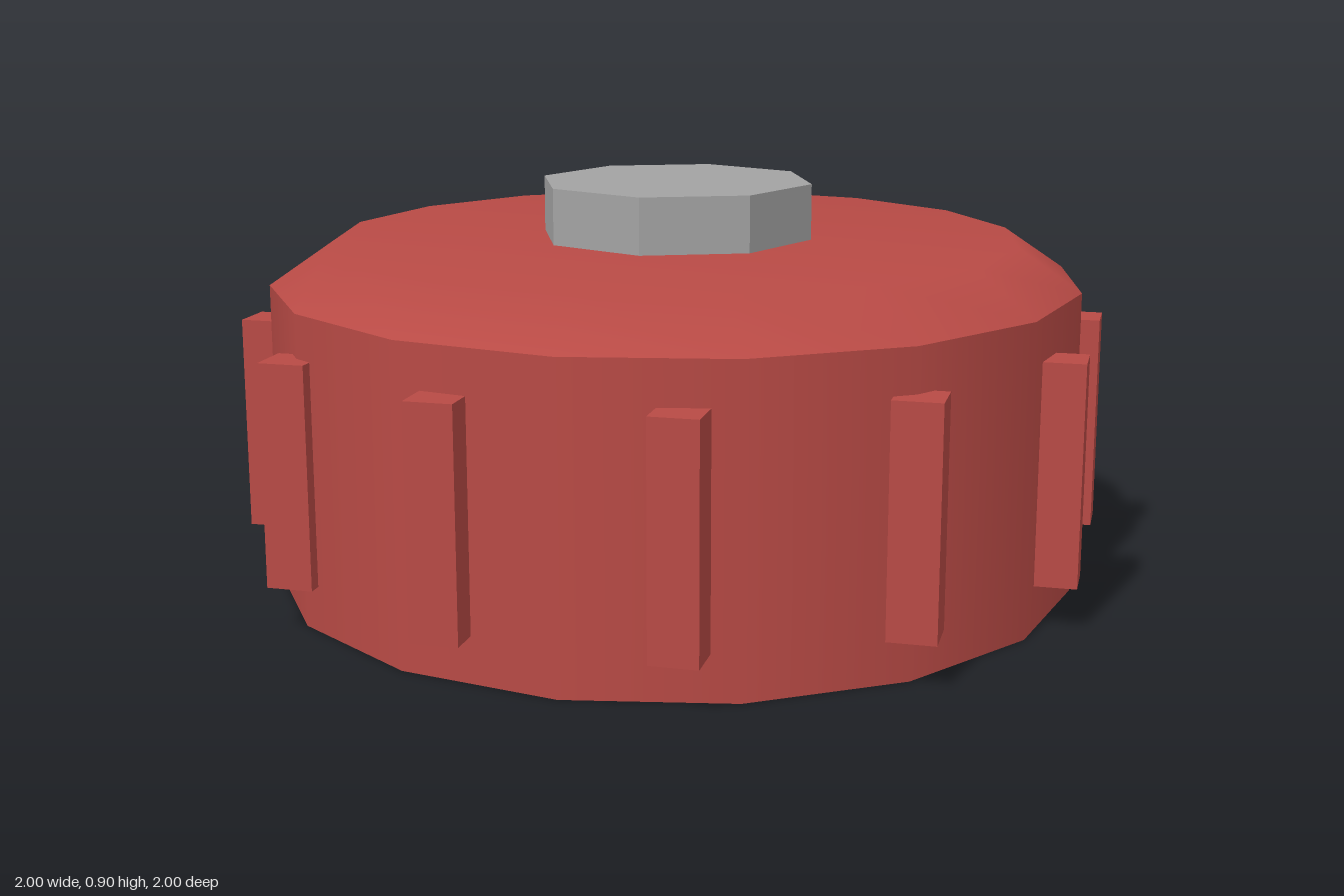
import * as THREE from 'three';

const SIDES = 16;
const RADIUS = 0.915;

// Facet a geometry so every face is shaded flat
function faceted(geometry) {
  const g = geometry.toNonIndexed();
  g.computeVertexNormals();
  return g;
}

export function createModel() {
  const red = new THREE.MeshStandardMaterial({ color: 0xb84a45 });
  red.name = 'red plastic';
  const grey = new THREE.MeshStandardMaterial({ color: 0xa3a3a3 });
  grey.name = 'grey metal';

  const model = new THREE.Group();
  model.name = 'knob';
  const add = (name, geometry, material, x = 0, y = 0, z = 0) => {
    const mesh = new THREE.Mesh(geometry, material);
    mesh.name = name;
    mesh.position.set(x, y, z);
    model.add(mesh);
    return mesh;
  };

  // Smooth side wall
  add('bodyWall', new THREE.CylinderGeometry(RADIUS, RADIUS, 0.68, SIDES, 1, true), red, 0, 0.34, 0);

  // Softly shaded cover: sloped rim running into a flat top
  const profile = [[RADIUS, 0.68], [0.775, 0.775], [0, 0.775]].map(([r, y]) => new THREE.Vector2(r, y));
  add('cover', new THREE.LatheGeometry(profile, SIDES), red);

  // Flat underside
  const base = new THREE.CircleGeometry(RADIUS, SIDES);
  base.rotateX(Math.PI / 2);
  add('base', base, red);

  // Twelve square grip ribs, all turned the same way
  const rib = faceted(new THREE.CylinderGeometry(0.072, 0.072, 0.485, 4));
  for (let i = 0; i < 12; i++) {
    const a = (i * Math.PI) / 6;
    add('gripRib' + (i + 1), rib, red, 0.928 * Math.sin(a), 0.3425, 0.928 * Math.cos(a));
  }

  // Eight-sided bolt head
  add('boltHead', faceted(new THREE.CylinderGeometry(0.313, 0.313, 0.145, 8)), grey, 0, 0.8275, 0);

  return model;
}
